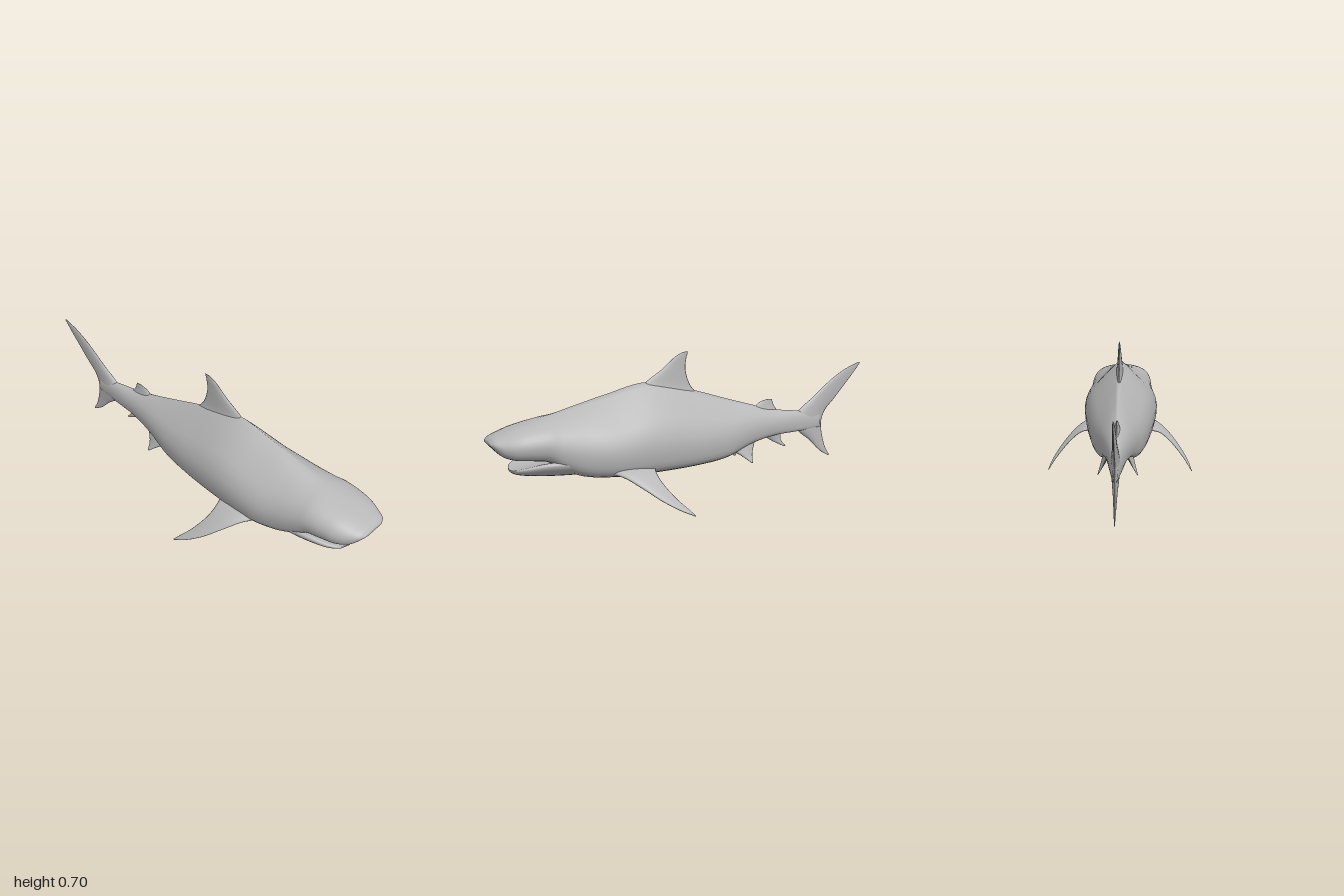
import * as THREE from 'three';

const skin = new THREE.MeshStandardMaterial({ color: 0xb8b8b8 });
skin.name = 'greySkin';

// Skin a list of closed rings (each an array of Vector3) and cap both ends
function loft(rings) {
  const n = rings[0].length, pos = [], idx = [];
  rings.forEach(r => r.forEach(p => pos.push(p.x, p.y, p.z)));
  for (let i = 0; i < rings.length - 1; i++) {
    for (let j = 0; j < n; j++) {
      const k = (j + 1) % n;
      const a = i * n + j, b = i * n + k, c = a + n, d = b + n;
      idx.push(a, b, c, b, d, c);
    }
  }
  [0, rings.length - 1].forEach(i => {
    const m = new THREE.Vector3();
    rings[i].forEach(p => m.addScaledVector(p, 1 / n));
    const centre = pos.length / 3;
    pos.push(m.x, m.y, m.z);
    for (let j = 0; j < n; j++) {
      const a = i * n + j, b = i * n + (j + 1) % n;
      if (i === 0) idx.push(centre, b, a);
      else idx.push(centre, a, b);
    }
  });
  const g = new THREE.BufferGeometry();
  g.setAttribute('position', new THREE.Float32BufferAttribute(pos, 3));
  g.setIndex(idx);
  g.computeVertexNormals();
  return g;
}

const V = (x, y, z) => new THREE.Vector3(x, y, z);
const curve = pts => new THREE.CatmullRomCurve3(pts);

// Half outlines, top to bottom: x as a share of half width, y of height
const bodyHalf = [[0, 1], [.3, .87], [.62, .71], [.88, .55], [1, .36], [.93, .15], [.78, .07], [.4, .03], [0, 0]];
const headHalf = [[0, 1], [.4, .98], [.75, .86], [.93, .68], [1, .45], [.94, .2], [.8, .06], [.4, 0], [0, 0]];
const jawHalf = [[0, .78], [.4, .84], [.75, .95], [.94, 1], [1, .85], [.9, .55], [.7, .32], [.4, .14], [0, 0]];

// Full ring outline from a half outline, smoothed and mirrored
function outline(half) {
  const c = curve(half.map(p => V(p[0], p[1], 0)));
  const right = c.getPoints(20);
  const left = right.slice(1, -1).reverse().map(p => V(-p.x, p.y, 0));
  return [...right, ...left];
}

// Body loft; rows: z, top, bottom, half width, blend from outline A (0) to B (1)
function hull(rows, halfA, halfB, steps) {
  const a = outline(halfA), b = outline(halfB);
  const heights = curve(rows.map(r => V(r[0], r[1], r[2])));
  const widths = curve(rows.map(r => V(r[0], r[3], r[4])));
  const rings = [];
  for (let i = 0; i <= steps; i++) {
    const h = heights.getPoint(i / steps), w = widths.getPoint(i / steps);
    const mix = THREE.MathUtils.clamp(w.z, 0, 1);
    rings.push(a.map((p, j) => {
      const q = p.clone().lerp(b[j], mix);
      return V(q.x * w.y, h.z + q.y * (h.y - h.z), h.x);
    }));
  }
  return loft(rings);
}

// Fin loft; rows: leading point, trailing point, half thickness
function fin(rows, side = 1, steps = 24, n = 20) {
  const at = k => curve(rows.map(r => V(r[k][0] * side, r[k][1], r[k][2])));
  const lead = at(0), trail = at(1);
  const thick = curve(rows.map((r, i) => V(i, r[2], 0)));
  const mid = t => lead.getPoint(t).add(trail.getPoint(t)).multiplyScalar(.5);
  const rings = [];
  for (let i = 0; i <= steps; i++) {
    const t = i / steps, m = mid(t);
    const span = mid(Math.min(1, t + .02)).sub(mid(Math.max(0, t - .02)));
    const half = lead.getPoint(t).sub(m);
    const normal = span.cross(half).normalize();
    const h = thick.getPoint(t).y, ring = [];
    for (let j = 0; j < n; j++) {
      const u = j / n * Math.PI * 2, c = Math.cos(u);
      ring.push(m.clone().addScaledVector(half, c)
        .addScaledVector(normal, Math.sin(u) * h * (.75 + .35 * c)));
    }
    rings.push(ring);
  }
  return loft(rings);
}

// Fin lying in the centre plane; rows: lead z, lead y, trail z, trail y, half thickness
const flat = rows => fin(rows.map(r => [[0, r[1], r[0]], [0, r[3], r[2]], r[4]]), 1, 40);

export function createModel() {
  const shark = new THREE.Group();
  shark.name = 'shark';
  const add = (name, geometry) => {
    const mesh = new THREE.Mesh(geometry, skin);
    mesh.name = name;
    shark.add(mesh);
  };

  // Head, trunk and tail stalk
  add('body', hull([
    [1, .352, .338, .06, 1], [.985, .366, .322, .09, 1], [.95, .382, .288, .118, 1],
    [.9, .4, .27, .143, 1], [.83, .42, .262, .158, .9], [.76, .438, .25, .165, .75],
    [.7, .452, .21, .169, .6], [.6, .48, .163, .179, .35], [.45, .52, .14, .194, .05],
    [.24, .565, .135, .18, 0], [0, .512, .145, .145, 0], [-.15, .468, .165, .115, .1],
    [-.3, .425, .22, .08, .3], [-.45, .385, .25, .05, .6], [-.6, .365, .258, .03, .8],
    [-.74, .34, .27, .012, 1],
  ], bodyHalf, headHalf, 90));

  // Lower jaw, leaving the mouth open under the snout
  add('lowerJaw', hull([
    [.905, .215, .203, .035, 0], [.89, .223, .193, .078, 0], [.85, .237, .182, .115, 0],
    [.78, .252, .172, .143, 0], [.7, .255, .165, .156, 0], [.58, .25, .16, .16, 0],
  ], jawHalf, jawHalf, 24));

  add('dorsalFin', flat([
    [.3, .5, -.06, .47, .035], [.25, .562, .01, .53, .018], [.165, .62, .04, .612, .011],
    [.095, .677, .036, .665, .006], [.055, .698, .026, .699, .002],
  ]));
  add('secondDorsalFin', flat([
    [-.33, .38, -.51, .35, .022], [-.37, .423, -.462, .4, .009], [-.415, .437, -.447, .437, .002],
  ]));
  add('analFin', flat([
    [-.38, .265, -.51, .27, .02], [-.45, .22, -.505, .225, .009], [-.525, .184, -.537, .184, .002],
  ]));

  // Tail fin swept from lower tip to upper tip
  add('tailFin', flat([
    [-.805, .108, -.812, .111, .002], [-.75, .14, -.785, .155, .006], [-.68, .205, -.765, .215, .012],
    [-.61, .258, -.755, .268, .02], [-.58, .31, -.757, .31, .024], [-.61, .362, -.78, .36, .02],
    [-.7, .43, -.83, .41, .013], [-.81, .515, -.89, .475, .009], [-.9, .567, -.945, .535, .006],
    [-.985, .599, -.997, .596, .002],
  ]));

  // Paired fins
  [['left', 1], ['right', -1]].forEach(([label, side]) => {
    add(label + 'PectoralFin', fin([
      [[.13, .19, .51], [.13, .19, .26], .028], [[.2, .175, .45], [.2, .175, .283], .018],
      [[.26, .135, .39], [.25, .14, .277], .013], [[.32, .075, .31], [.313, .075, .235], .009],
      [[.355, .03, .235], [.35, .03, .192], .006], [[.372, .001, .172], [.37, .001, .165], .002],
    ], side));
    add(label + 'PelvicFin', fin([
      [[.05, .22, -.16], [.05, .235, -.32], .022], [[.074, .178, -.23], [.07, .18, -.296], .01],
      [[.092, .14, -.28], [.091, .139, -.29], .002],
    ], side));
  });

  return shark;
}
